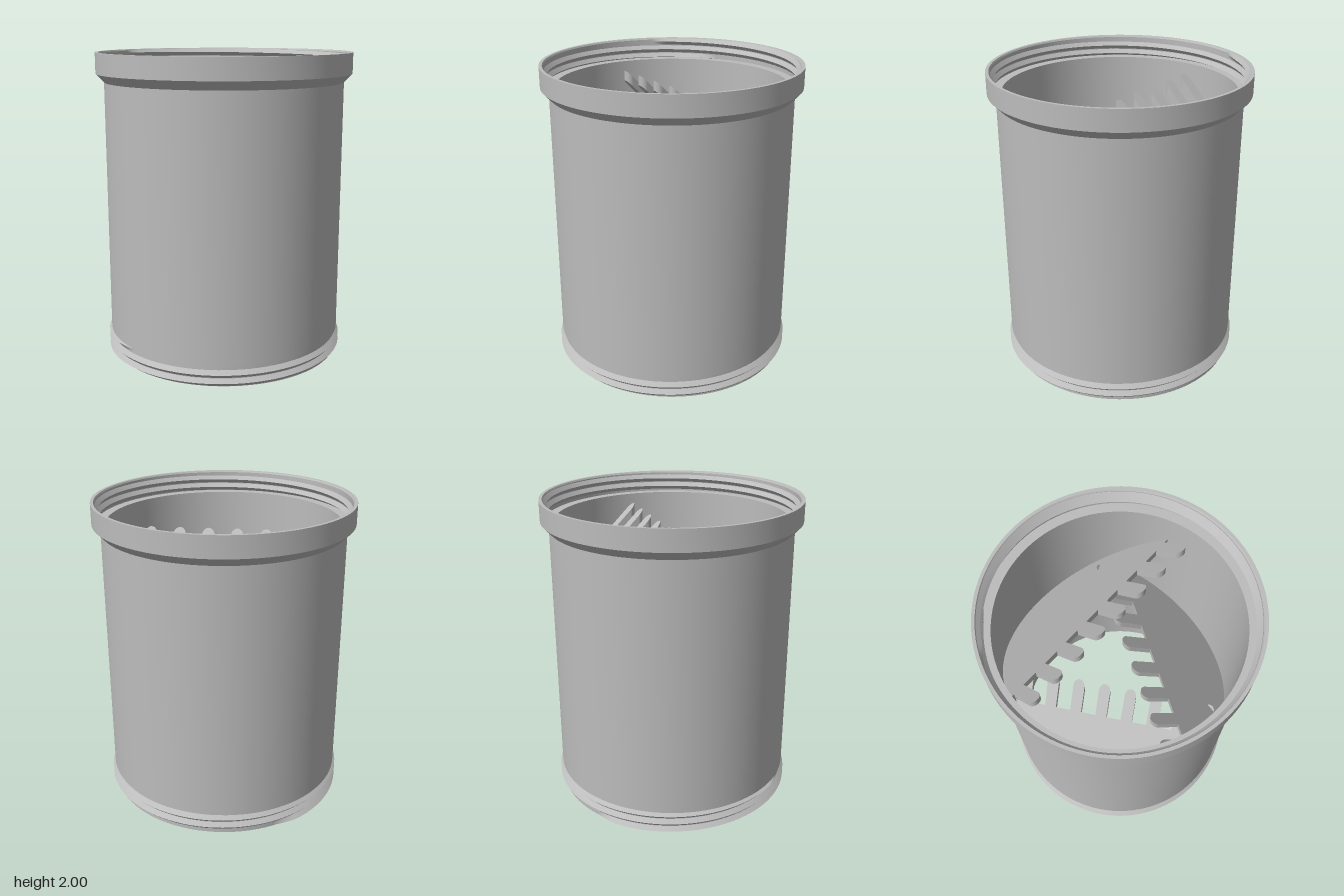
import * as THREE from 'three';
import { toCreasedNormals } from 'three/addons/utils/BufferGeometryUtils.js';

const PITCH = 0.055;

// Triangular ridge wound as a right-handed helix, height clamped to [yMin, yMax]
function threadGeometry(root, crest, y0, from, to, yMin, yMax) {
  const steps = 400, h = PITCH * 0.48, pos = [], index = [];
  for (let i = 0; i <= steps; i++) {
    const a = from + (to - from) * i / steps;
    const fade = Math.min(1, i / 6, (steps - i) / 6);
    const section = [[root, -h], [root + (crest - root) * fade, 0], [root, h]];
    for (const [r, dy] of section) {
      const y = THREE.MathUtils.clamp(y0 + PITCH * a / (2 * Math.PI) + dy, yMin, yMax);
      pos.push(r * Math.sin(a), y, r * Math.cos(a));
    }
    if (i < steps) {
      for (let k = 0; k < 2; k++) {
        const p = i * 3 + k, q = p + 3;
        if (crest > root) index.push(p, q, q + 1, p, q + 1, p + 1);
        else index.push(p, q + 1, q, p, p + 1, q + 1);
      }
    }
  }
  const g = new THREE.BufferGeometry();
  g.setAttribute('position', new THREE.Float32BufferAttribute(pos, 3));
  g.setIndex(index);
  return toCreasedNormals(g, 0.5);
}

// Sloped plate with a comb of round-ended teeth along its raised edge
function baffleGeometry(topY) {
  const R = 0.755, edge = -0.23, tip = -0.05, r = 0.04, gap = 0.184, thick = 0.07;
  const end = Math.acos(edge / R);
  const s = new THREE.Shape();
  s.absarc(0, 0, R, end, 2 * Math.PI - end, false);
  for (let i = 0; i < 8; i++) {
    const c = (i - 3.5) * gap;
    s.lineTo(edge, c - r);
    s.absarc(tip - r, c, r, -Math.PI / 2, Math.PI / 2, false);
    s.lineTo(edge, c + r);
  }
  s.closePath();
  const g = new THREE.ExtrudeGeometry(s, { depth: thick, bevelEnabled: false, curveSegments: 24 });
  g.rotateX(-Math.PI / 2);
  // Shear into a 45 degree slope; the cut faces stay vertical
  const p = g.attributes.position;
  for (let i = 0; i < p.count; i++) {
    p.setY(i, p.getY(i) - thick + topY + p.getX(i) - tip);
  }
  return toCreasedNormals(g, 0.5);
}

export function createModel() {
  const model = new THREE.Group();
  const grey = new THREE.MeshStandardMaterial({ color: 0xbcbcbc });
  grey.name = 'plainGrey';
  const add = (name, geometry) => {
    const m = new THREE.Mesh(geometry, grey);
    m.name = name;
    model.add(m);
    return m;
  };

  // Tube wall with threaded foot, flared collar and inner socket
  const profile = [
    [0.75, 0], [0.775, 0], [0.775, 0.14], [0.785, 0.14], [0.785, 1.81],
    [0.838, 1.865], [0.838, 2], [0.818, 2], [0.812, 1.99], [0.812, 1.86],
    [0.75, 1.86], [0.75, 0],
  ].map(([x, y]) => new THREE.Vector2(x, y));
  add('tubeBody', toCreasedNormals(new THREE.LatheGeometry(profile, 96), 0.5));

  // Screw threads: outside the foot and inside the collar
  add('footThread', threadGeometry(0.774, 0.8, 0.03, -Math.PI, Math.PI * 3.6, 0, 0.14));
  add('collarThread', threadGeometry(0.813, 0.79, 1.89, -Math.PI, Math.PI * 3.2, 1.86, 1.995));

  // Three baffles stepping down the tube, each turned by a third
  const names = ['upperBaffle', 'middleBaffle', 'lowerBaffle'];
  const turns = [-1, 1, 0];
  names.forEach((name, i) => {
    add(name, baffleGeometry(1.815 - 0.467 * i)).rotation.y = turns[i] * 2 * Math.PI / 3;
  });
  return model;
}
